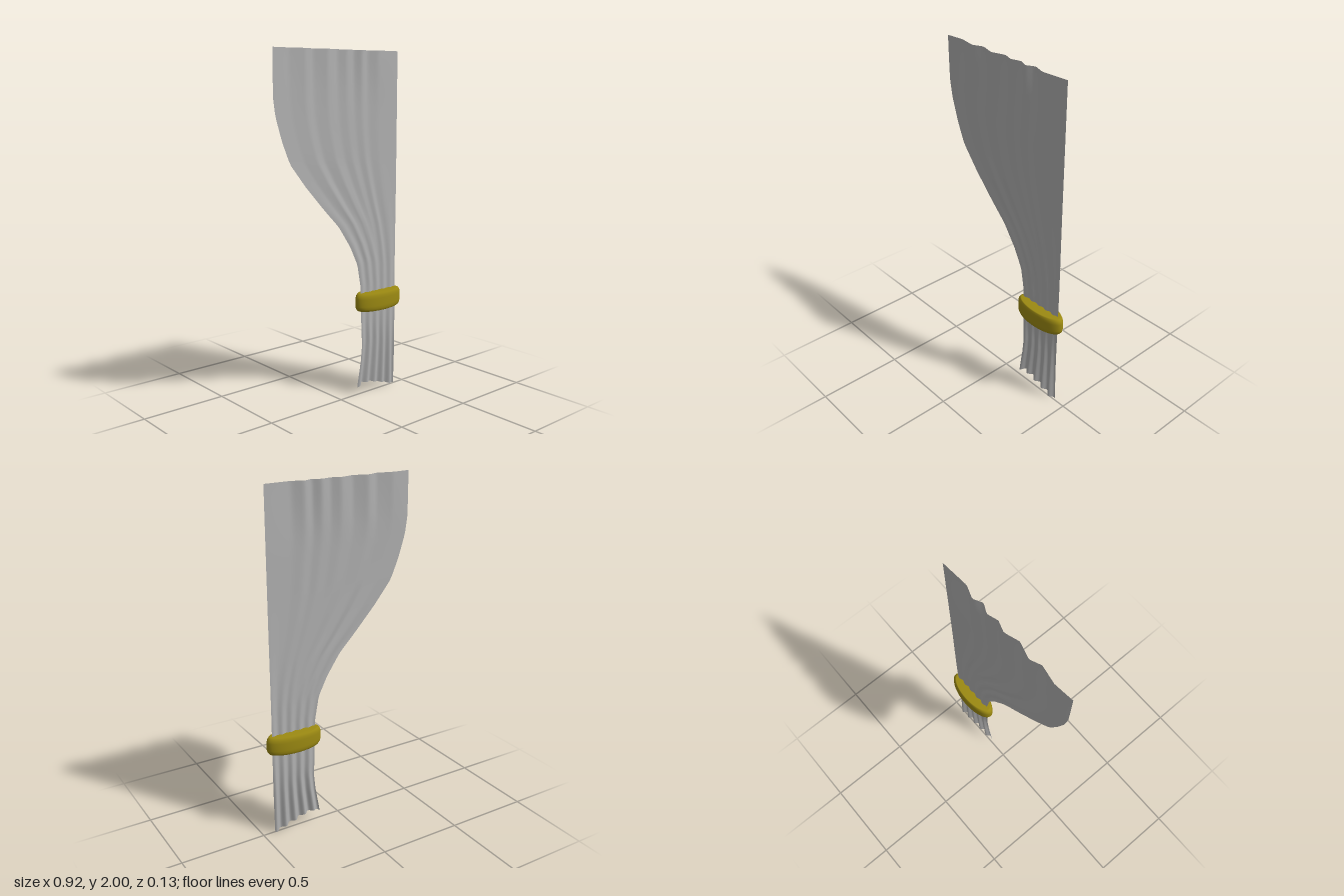
import * as THREE from 'three';

const fabric = new THREE.MeshStandardMaterial({ color: 0xb0b0b0, side: THREE.DoubleSide });
fabric.name = 'grey fabric';
const gold = new THREE.MeshStandardMaterial({ color: 0x9c8a12 });
gold.name = 'dark gold';

// Linear lookup in a list of [key, value] pairs with rising keys
function lookup(list, k) {
  if (k <= list[0][0]) return list[0][1];
  for (let i = 1; i < list.length; i++) {
    const [a, va] = list[i - 1], [b, vb] = list[i];
    if (k <= b) return va + (vb - va) * (k - a) / (b - a);
  }
  return list[list.length - 1][1];
}

// Swept inner edge of the curtain: [height, x]
const innerEdge = [[0.05, 0.125], [0.2, 0.15], [0.3, 0.16], [0.4, 0.155], [0.65, 0.15], [0.79, 0.125],
  [0.9, 0.07], [1, 0.002], [1.03, -0.02], [1.13, -0.12], [1.27, -0.25], [1.4, -0.355], [1.52, -0.405],
  [1.65, -0.445], [1.75, -0.46], [2, -0.46]];
// Slanting hem: [across, height]
const hem = [[0, 0.045], [0.13, 0.065], [0.33, 0.06], [0.66, 0.03], [0.85, 0.01], [1, 0]];
// Folds at the heading: [x, z]
const heading = [[-0.46, 0.005], [-0.35, -0.006], [-0.25, 0.012], [-0.19, -0.014], [-0.1, 0.012],
  [-0.02, -0.014], [0.04, 0.006], [0.1, -0.013], [0.15, 0.012], [0.2, -0.014], [0.27, 0.011], [0.43, 0]];
const rightEdge = 0.428;

// Thin sheet whose folds soften halfway down and gather again below the band
function curtainGeometry() {
  const cols = 64, rows = 64;
  const geo = new THREE.PlaneGeometry(1, 1, cols, rows);
  const p = geo.attributes.position;
  for (let i = 0; i < p.count; i++) {
    const u = p.getX(i) + 0.5, v = p.getY(i) + 0.5;
    const bottom = lookup(hem, u);
    const y = bottom + (2 - bottom) * v;
    const left = lookup(innerEdge, 0.045 + 1.955 * v);
    const x = left + (rightEdge - left) * u;
    const top = lookup(heading, -0.46 + 0.89 * u) * (0.3 + 0.7 * THREE.MathUtils.smoothstep(y, 1.6, 2));
    const gathered = Math.sin(u * 31 + Math.sin(y * 5) * 0.5) * (0.004 + 0.008 * (1 - THREE.MathUtils.smoothstep(y, 0, 0.6)));
    const t = THREE.MathUtils.smoothstep(y, 0.6, 1.4);
    p.setXYZ(i, x, y, gathered * (1 - t) + top * t);
  }
  geo.computeVertexNormals();
  return geo;
}

// Oval tieback with rounded rims
function bandGeometry() {
  const profile = [[0, -0.054], [0.86, -0.054], [0.92, -0.05], [0.975, -0.038], [1, -0.022],
    [1, 0.022], [0.975, 0.038], [0.92, 0.05], [0.86, 0.054], [0, 0.054]];
  const geo = new THREE.LatheGeometry(profile.map(([r, y]) => new THREE.Vector2(r * 0.17, y)), 40);
  geo.scale(1, 1, 0.066 / 0.17);
  return geo;
}

export function createModel() {
  const model = new THREE.Group();
  model.name = 'tiedCurtain';

  const curtain = new THREE.Mesh(curtainGeometry(), fabric);
  curtain.name = 'curtain';

  const band = new THREE.Mesh(bandGeometry(), gold);
  band.name = 'tiebackBand';
  band.position.set(0.289, 0.561, 0);

  model.add(curtain, band);
  return model;
}
